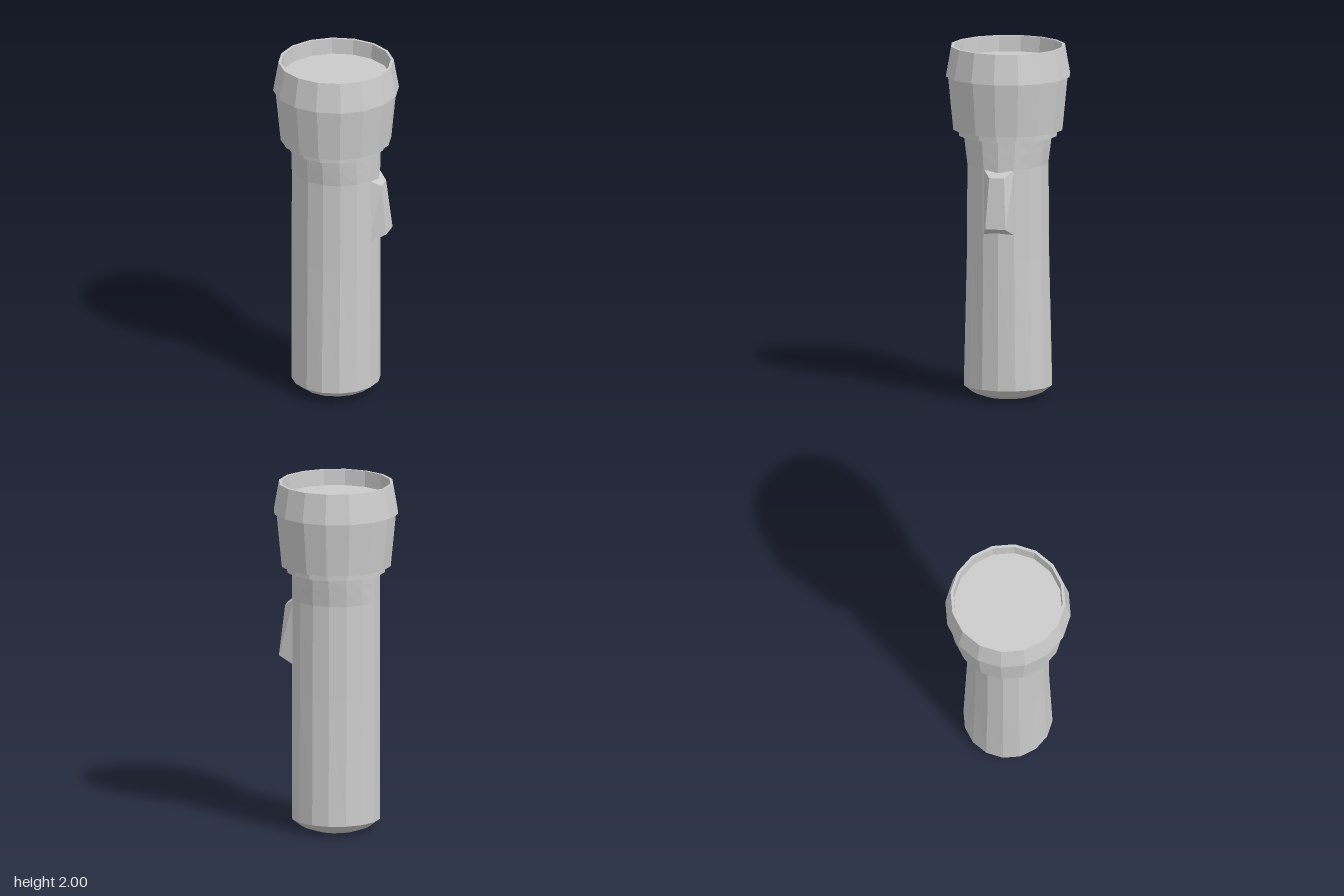
import * as THREE from 'three';

const SIDES = 16;
const material = new THREE.MeshStandardMaterial({ color: 0xcccccc, flatShading: true, side: THREE.DoubleSide });

function addMesh(group, name, geometry) {
  const mesh = new THREE.Mesh(geometry, material);
  mesh.name = name;
  group.add(mesh);
  return mesh;
}

// Faceted turned part from [radius, height] pairs, listed bottom to top.
function turned(profile) {
  return new THREE.LatheGeometry(profile.map(([r, y]) => new THREE.Vector2(r, y)), SIDES);
}

// Barrel: round in x, pinched in z around the grip.
function barrelGeometry() {
  const rings = [
    // radius, height, z squeeze
    [0, 0, 1], [0.13, 0, 1], [0.2, 0.025, 1], [0.252, 0.065, 1],
    [0.252, 0.8, 0.925], [0.252, 1.33, 0.91], [0.252, 1.42, 0.96], [0.252, 1.5, 1],
  ];
  const geometry = turned(rings);
  const pos = geometry.attributes.position;
  for (let i = 0; i < pos.count; i++) {
    pos.setZ(i, pos.getZ(i) * rings[i % rings.length][2]);
  }
  geometry.computeVertexNormals();
  return geometry;
}

// Thumb switch: a box whose outer face is shrunk and sloped.
function switchGeometry() {
  const geometry = new THREE.BoxGeometry(1, 1, 1);
  const pos = geometry.attributes.position;
  for (let i = 0; i < pos.count; i++) {
    const outer = pos.getX(i) > 0;
    const upper = pos.getY(i) > 0;
    const side = Math.sign(pos.getZ(i));
    if (outer) pos.setXYZ(i, upper ? 0.283 : 0.316, upper ? 1.287 : 1.0, side * (upper ? 0.043 : 0.058));
    else pos.setXYZ(i, 0.228, upper ? 1.33 : 0.955, side * 0.088);
  }
  geometry.computeVertexNormals();
  return geometry;
}

export function createModel() {
  const group = new THREE.Group();
  group.name = 'flashlight';

  addMesh(group, 'barrel', barrelGeometry());
  addMesh(group, 'thumbSwitch', switchGeometry());

  // Head: collar, flared housing and tapered rim
  addMesh(group, 'collar', turned([[0.2, 1.49], [0.28, 1.49], [0.28, 1.525]]));
  addMesh(group, 'headHousing', turned([[0.23, 1.525], [0.312, 1.525], [0.342, 1.83]]));
  addMesh(group, 'rim', turned([[0.32, 1.83], [0.355, 1.83], [0.325, 2], [0.309, 2], [0.305, 1.91]]));

  // Lens set down inside the rim
  addMesh(group, 'lens', turned([[0.306, 1.91], [0, 1.91]]));

  return group;
}
